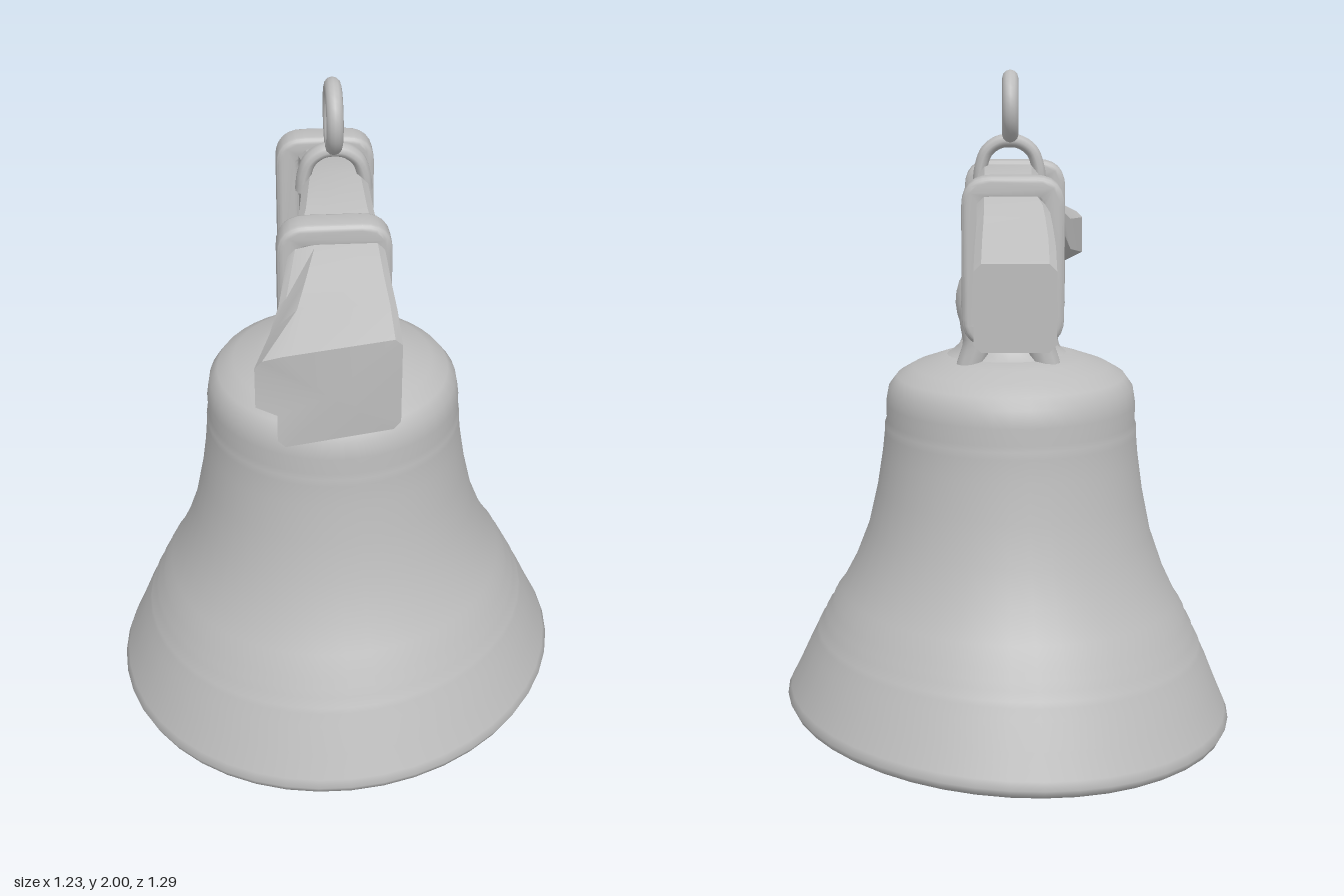
import * as THREE from 'three';
import { toCreasedNormals } from 'three/addons/utils/BufferGeometryUtils.js';

const grey = new THREE.MeshStandardMaterial({ color: 0xbdbdbd });
grey.name = 'cast grey';
const v2 = (p) => p.map(([x, y]) => new THREE.Vector2(x, y));

function add(group, name, geometry, x = 0, y = 0, z = 0) {
  const mesh = new THREE.Mesh(geometry, grey);
  mesh.name = name;
  mesh.position.set(x, y, z);
  group.add(mesh);
  return mesh;
}

// Bell wall: inner and outer profile in one lathe, with a slanted, slightly oval mouth
function bellGeometry() {
  const profile = v2([
    [0.001, 1.2], [0.2, 1.185], [0.27, 1.145], [0.298, 1.08], [0.312, 0.98], [0.335, 0.86],
    [0.368, 0.74], [0.415, 0.62], [0.465, 0.52], [0.505, 0.44], [0.54, 0.36], [0.575, 0.265],
    [0.583, 0.25], [0.595, 0.246], [0.608, 0.255], [0.617, 0.274], [0.608, 0.295],
    [0.578, 0.36], [0.55, 0.425], [0.535, 0.455], [0.53, 0.47], [0.515, 0.492],
    [0.508, 0.515], [0.493, 0.535], [0.485, 0.56], [0.464, 0.59],
    [0.424, 0.67], [0.387, 0.77], [0.363, 0.88], [0.348, 0.98],
    [0.342, 1.04], [0.342, 1.06], [0.337, 1.075], [0.338, 1.12],
    [0.33, 1.165], [0.308, 1.195], [0.265, 1.22], [0.2, 1.243], [0.16, 1.255], [0.001, 1.265],
  ]);
  const geo = new THREE.LatheGeometry(profile, 44);
  const pos = geo.attributes.position;
  for (let i = 0; i < pos.count; i++) {
    const x = pos.getX(i), y = pos.getY(i);
    const low = THREE.MathUtils.clamp((1.2 - y) / 0.95, 0, 1);
    pos.setXYZ(i, x - 0.007 * (1 - low), y + 0.065 * x * low, pos.getZ(i) * (1.015 + 0.035 * low));
  }
  return geo;
}

// Arched timber yoke: bevelled cross-sections joined along z
function yokeGeometry() {
  // z, top, bottom, left x, right x, notch depth, end skew, drop of the left edge
  const stations = [
    [-0.6, 1.575, 1.365, -0.11, 0.085, 0, 0, 0],
    [-0.5, 1.62, 1.36, -0.11, 0.083, 0, 0, 0],
    [-0.4, 1.66, 1.362, -0.105, 0.08, 0, 0, 0],
    [-0.35, 1.685, 1.41, -0.1, 0.08, 0, 0, 0],
    [-0.28, 1.705, 1.455, -0.085, 0.08, 0, 0, 0],
    [-0.15, 1.735, 1.51, -0.075, 0.08, 0, 0, 0],
    [0, 1.755, 1.53, -0.08, 0.08, 0, 0, 0],
    [0.16, 1.735, 1.5, -0.1, 0.085, 0, 0, 0],
    [0.3, 1.7, 1.455, -0.135, 0.1, 0.005, 0, 0.01],
    [0.38, 1.66, 1.43, -0.16, 0.107, 0.015, 0, 0.05],
    [0.46, 1.625, 1.345, -0.185, 0.115, 0.04, 0.05, 0.045],
    [0.595, 1.58, 1.335, -0.225, 0.12, 0.05, 0.26, 0.01],
  ];
  const n = 11, b = 0.018, points = [], index = [];
  stations.forEach(([z, top, bot, l, r, s, k, drop]) => {
    const mid = bot + (top - bot) * 0.46;
    const loop = [
      [l + s + b, bot], [r - b, bot], [r, bot + b], [r, top - b], [r - b, top],
      [l + 0.065, top], [l + b, top - drop], [l, top - drop - b],
      [l, mid], [l + s, mid - 0.025], [l + s, bot + b],
    ];
    loop.forEach(([x, y]) => points.push(x, y, z - k * Math.max(0, x - l - 0.1)));
  });
  const last = (stations.length - 1) * n;
  for (let i = 0; i < last; i += n) {
    for (let j = 0; j < n; j++) {
      const a = i + j, c = i + (j + 1) % n;
      index.push(a, c, c + n, a, c + n, a + n);
    }
  }
  // End caps, fanned from the middle
  [0, stations.length - 1].forEach((s) => {
    const [z, top, bot, l, r] = stations[s];
    const centre = points.length / 3;
    points.push((l + r) / 2, (top + bot) / 2, z - (s ? 0.015 : 0));
    for (let j = 0; j < n; j++) {
      const a = s * n + j, c = s * n + (j + 1) % n;
      index.push(centre, ...(s ? [a, c] : [c, a]));
    }
  });
  const geo = new THREE.BufferGeometry();
  geo.setAttribute('position', new THREE.Float32BufferAttribute(points, 3));
  geo.setIndex(index);
  return toCreasedNormals(geo, 0.6);
}

function roundedRect(path, x0, y0, x1, y1, r) {
  path.moveTo(x0 + r, y0);
  path.lineTo(x1 - r, y0).quadraticCurveTo(x1, y0, x1, y0 + r);
  path.lineTo(x1, y1 - r).quadraticCurveTo(x1, y1, x1 - r, y1);
  path.lineTo(x0 + r, y1).quadraticCurveTo(x0, y1, x0, y1 - r);
  path.lineTo(x0, y0 + r).quadraticCurveTo(x0, y0, x0 + r, y0);
  return path;
}

// Iron strap: a closed band around yoke and hanger bar
function strapGeometry(x0, x1) {
  const shape = roundedRect(new THREE.Shape(), x0, 1.335, x1, 1.735, 0.06);
  shape.holes.push(roundedRect(new THREE.Path(), x0 + 0.032, 1.367, x1 - 0.032, 1.703, 0.035));
  const geo = new THREE.ExtrudeGeometry(shape, {
    depth: 0.05, bevelThickness: 0.014, bevelSize: 0.014, bevelSegments: 3, curveSegments: 6,
  });
  geo.translate(0, 0, -0.025);
  return toCreasedNormals(geo, 0.6);
}

// Arch of round stock across x, mirrored from its right half, stretched along z
function archGeometry(half, radius, depth) {
  const left = half.map(([x, y]) => [-x, y]);
  const right = half.slice(0, -1).reverse();
  const curve = new THREE.CatmullRomCurve3(
    [...left, ...right].map(([x, y]) => new THREE.Vector3(x, y, 0)));
  return new THREE.TubeGeometry(curve, 32, radius, 10).scale(1, 1, depth / radius);
}

export function createModel() {
  const model = new THREE.Group();
  model.name = 'hangingBell';

  add(model, 'bell', bellGeometry());

  // Clapper: tail, ball and rod
  const clapper = [[0.001, 0], [0.028, 0.006], [0.035, 0.02], [0.041, 0.07]];
  for (let i = 0; i <= 10; i++) {
    const a = -1.1 + i * 0.23;
    clapper.push([0.105 * Math.cos(a), 0.155 + 0.105 * Math.sin(a)]);
  }
  clapper.push([0.039, 0.27], [0.037, 1.205]);
  add(model, 'clapper', new THREE.LatheGeometry(v2(clapper), 24));

  // Crown mound and loops that carry the hanger bar
  const crown = new THREE.Group();
  crown.name = 'crown';
  model.add(crown);
  const sideLoop = [[0.105, 1.23], [0.085, 1.3], [0.093, 1.37], [0.085, 1.41], [0.05, 1.43], [0, 1.435]];
  const midLoop = [[0.105, 1.23], [0.088, 1.31], [0.108, 1.39], [0.095, 1.445], [0.055, 1.48], [0, 1.49]];
  add(crown, 'middleLoop', archGeometry(midLoop, 0.04, 0.042), -0.005);
  for (const z of [-0.115, 0.115]) add(crown, 'sideLoop', archGeometry(sideLoop, 0.037, 0.036), 0, 0, z);
  const mound = [[0.19, 1.24], [0.155, 1.256], [0.135, 1.275], [0.122, 1.295], [0.1, 1.303], [0.001, 1.305]];
  add(crown, 'crownBase', new THREE.LatheGeometry(v2(mound), 32));

  // Hanger bar with end heads
  add(model, 'hangerBar', new THREE.CylinderGeometry(0.03, 0.03, 0.64, 16), 0, 1.392, 0).rotation.x = Math.PI / 2;
  for (const z of [-0.318, 0.318]) {
    add(model, 'barHead', new THREE.CylinderGeometry(0.038, 0.038, 0.025, 12), 0, 1.392, z).rotation.x = Math.PI / 2;
  }

  add(model, 'yoke', yokeGeometry());
  add(model, 'frontStrap', strapGeometry(-0.145, 0.105), 0, 0, 0.25);
  add(model, 'backStrap', strapGeometry(-0.125, 0.105), 0, 0, -0.258);

  // Staple and lifting ring on top
  const staple = [[0.08, 1.71], [0.075, 1.75], [0.06, 1.79], [0.03, 1.813], [0, 1.818]];
  add(model, 'staple', archGeometry(staple, 0.018, 0.028), -0.003);
  add(model, 'liftingRing', new THREE.TorusGeometry(0.074, 0.021, 12, 32), -0.005, 1.905, 0).rotation.y = Math.PI / 2;

  return model;
}
